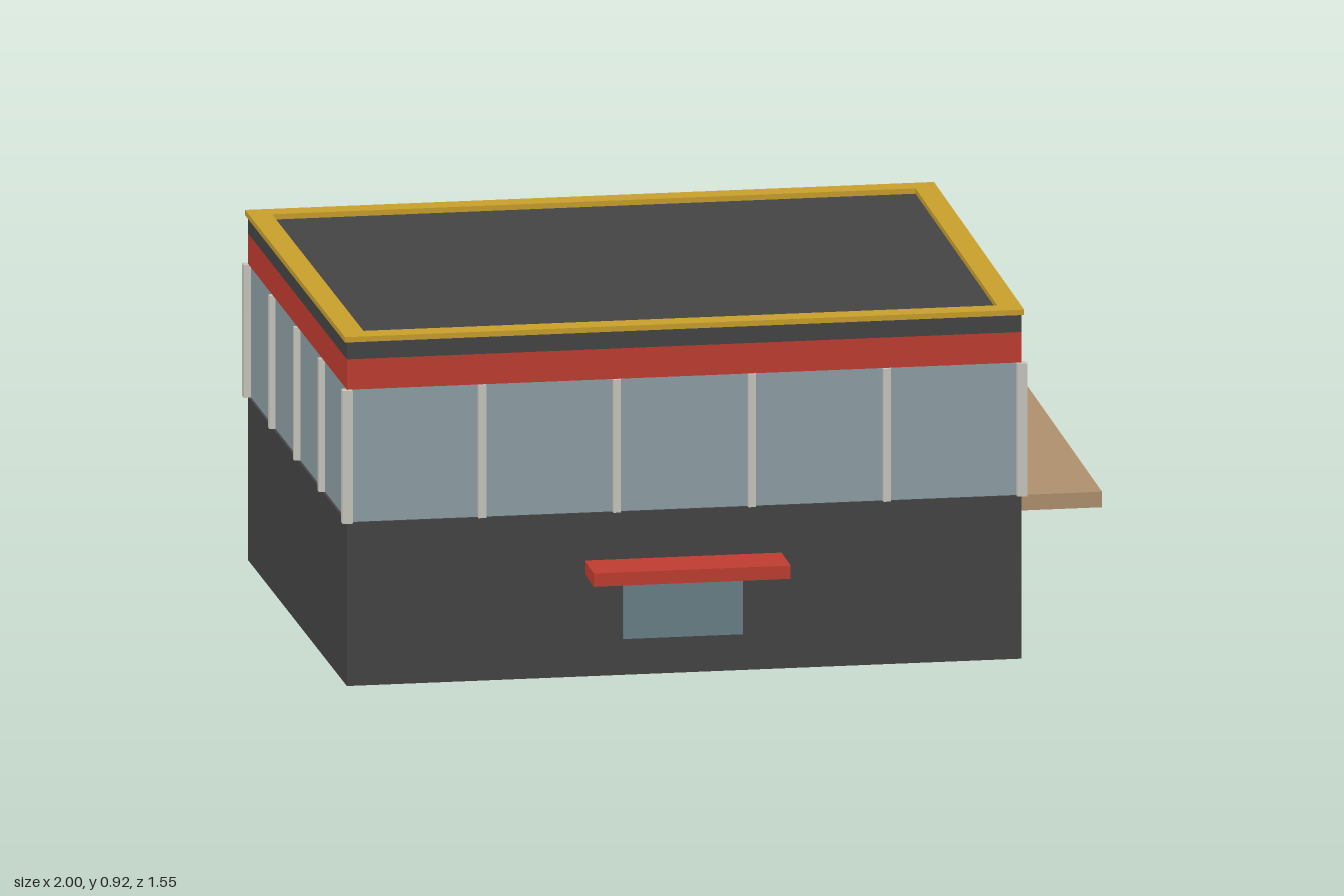
import * as THREE from 'three';

const paint = (name, color) => {
  const m = new THREE.MeshStandardMaterial({ color });
  m.name = name;
  return m;
};

export function createModel() {
  const dark = paint('charcoal wall', 0x444444);
  const red = paint('red', 0xc03c30);
  const gold = paint('gold trim', 0xc9a02c);
  const tan = paint('tan canopy', 0xb0906e);
  const paleGlass = paint('pale glass', 0x8e9fa4);
  const tealGlass = paint('teal glass', 0x678086);
  const grey = paint('light grey post', 0xc8c8c0);

  const model = new THREE.Group();
  model.name = 'building';

  // Slightly skewed footprint as [x, z]: front left, front right, back right, back left
  const corners = [[-0.986, 0.611], [0.763, 0.641], [0.788, -0.731], [-0.986, -0.762]];
  const grow = (d) => corners.map(([x, z]) => [x + d * Math.sign(x), z + d * Math.sign(z)]);
  const toVectors = (plan) => plan.map(([x, z]) => new THREE.Vector2(x, -z));

  // Upright prism over a plan outline, with an optional hole
  function prism(name, material, plan, y0, y1, hole) {
    const shape = new THREE.Shape(toVectors(plan));
    if (hole) shape.holes.push(new THREE.Path(toVectors(hole)));
    const geometry = new THREE.ExtrudeGeometry(shape, { depth: y1 - y0, bevelEnabled: false });
    geometry.rotateX(-Math.PI / 2);
    geometry.translate(0, y0, 0);
    const mesh = new THREE.Mesh(geometry, material);
    mesh.name = name;
    model.add(mesh);
  }

  // Block set on a wall: s0..s1 along the wall, d0..d1 outwards
  function onWall(name, material, wall, s0, s1, y0, y1, d0, d1) {
    const [ax, az] = corners[wall];
    const [bx, bz] = corners[(wall + 1) % 4];
    const length = Math.hypot(bx - ax, bz - az);
    const ux = (bx - ax) / length, uz = (bz - az) / length;
    const at = (s, d) => [ax + ux * s - uz * d, az + uz * s + ux * d];
    prism(name, material, [at(s0, d0), at(s1, d0), at(s1, d1), at(s0, d1)], y0, y1);
  }

  // Storeys and roof
  prism('groundFloor', dark, corners, 0, 0.43);
  prism('windowBand', paleGlass, grow(-0.006), 0.43, 0.78);
  prism('redBand', red, corners, 0.78, 0.86);
  prism('parapet', dark, corners, 0.86, 0.906);
  prism('roofTrim', gold, grow(0.006), 0.906, 0.92, grow(-0.053));

  // Window posts, five bays on the long walls and four on the short ones
  for (let wall = 0; wall < 4; wall++) {
    const [ax, az] = corners[wall];
    const [bx, bz] = corners[(wall + 1) % 4];
    const length = Math.hypot(bx - ax, bz - az);
    const bays = wall % 2 ? 4 : 5;
    for (let i = 0; i < bays; i++) {
      const s = (length * i) / bays;
      const w = i ? 0.01 : 0.013;
      onWall('windowPost', grey, wall, s - w, s + w, 0.43, 0.78, -w, w);
    }
  }

  // Front opening and its awning
  onWall('frontWindow', tealGlass, 0, 0.716, 1.026, 0.095, 0.245, -0.003, 0.004);
  onWall('frontAwning', red, 0, 0.617, 1.127, 0.27, 0.305, -0.005, 0.141);

  // Large right side glazing under a full-length canopy
  onWall('sideGlazing', tealGlass, 1, 0.271, 1.096, 0.002, 0.37, -0.003, 0.006);
  onWall('sideCanopy', tan, 1, 0, 1.372, 0.39, 0.431, -0.01, 0.209);

  return model;
}
